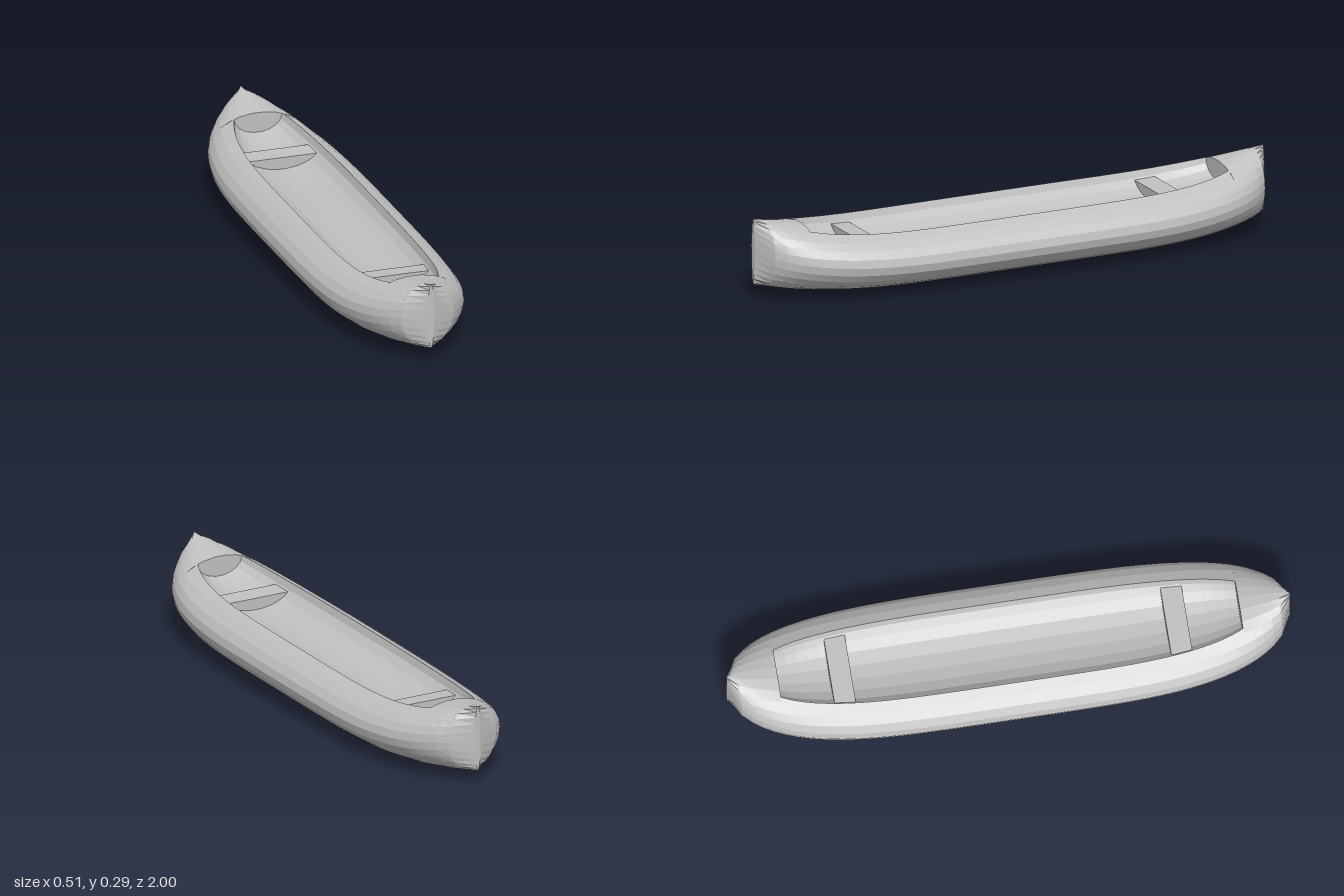
import * as THREE from 'three';

const HALF_HEIGHT = 0.12;
const COCKPIT_END = 0.82;
const STEP = Math.PI / 13; // 26-sided hull section
const SEAT_ANGLE = Math.PI / 7.5; // how far down the trough the seats sit

// Half widths of hull and cockpit, and the upward sweep of the ends
const hullWidth = (z) => Math.max(0.012, 0.253 * Math.sqrt(1 - z ** 4));
const cockpitWidth = (z) => 0.152 * Math.sqrt(1 - (z / 0.912) ** 4);
const lift = (z) => 0.055 * Math.max(0, (Math.abs(z) - 0.3) / 0.7) ** 3;

// Point on the hull skin; t = 0 is the deck centre, running down the -x side
function hullPoint(z, t) {
  return [
    -hullWidth(z) * Math.sin(t),
    HALF_HEIGHT - 0.001 + lift(z) + HALF_HEIGHT * Math.cos(t),
    z,
  ];
}

// Point on the rounded cockpit trough; t = 0 is the +x rim, PI the -x rim
function troughPoint(z, t) {
  const w = cockpitWidth(z);
  const rimY = hullPoint(z, Math.asin(w / hullWidth(z)))[1];
  return [w * Math.cos(t), rimY - (0.035 + 0.28 * w) * Math.sin(t), z];
}

// Whole hull section with narrow flats at keel and deck
function fullRing(z) {
  return Array.from({ length: 26 }, (_, i) => hullPoint(z, (i + 0.5) * STEP));
}

// Crescent section: outer skin from rim to rim, then back along the trough
function openRing(z) {
  const rim = Math.asin(cockpitWidth(z) / hullWidth(z));
  const ring = [hullPoint(z, rim)];
  for (let i = 3; i < 23; i++) ring.push(hullPoint(z, (i + 0.5) * STEP));
  ring.push(hullPoint(z, -rim));
  for (let i = 1; i < 9; i++) ring.push(troughPoint(z, Math.PI * i / 9));
  return ring;
}

// Seat section: trough cut off level at seat height
function seatRing(z) {
  return Array.from({ length: 7 }, (_, i) =>
    troughPoint(z, Math.PI - SEAT_ANGLE - (Math.PI - 2 * SEAT_ANGLE) * i / 6));
}

// Skin closed rings placed in order of rising z
function loft(rings, capped) {
  const pos = [];
  const tri = (a, b, c) => pos.push(...a, ...b, ...c);
  for (let k = 0; k < rings.length - 1; k++) {
    const a = rings[k], b = rings[k + 1], n = a.length;
    for (let i = 0; i < n; i++) {
      const j = (i + 1) % n;
      tri(a[i], a[j], b[j]);
      tri(a[i], b[j], b[i]);
    }
  }
  if (capped) {
    const a = rings[0], b = rings[rings.length - 1];
    for (let i = 1; i < a.length - 1; i++) {
      tri(a[0], a[i + 1], a[i]);
      tri(b[0], b[i], b[i + 1]);
    }
  }
  const g = new THREE.BufferGeometry();
  g.setAttribute('position', new THREE.Float32BufferAttribute(pos, 3));
  g.computeVertexNormals();
  return g;
}

export function createModel() {
  const group = new THREE.Group();
  group.name = 'canoe';
  const grey = new THREE.MeshStandardMaterial({ color: 0xc0c0c0, flatShading: true });
  grey.name = 'light grey';
  const add = (name, geometry) => {
    const mesh = new THREE.Mesh(geometry, grey);
    mesh.name = name;
    group.add(mesh);
  };

  // Open middle of the hull with the cockpit trough
  const middle = Array.from({ length: 42 }, (_, i) => COCKPIT_END * (2 * i / 41 - 1));
  add('hullMiddle', loft(middle.map(openRing), false));

  // Decked ends, whose inner caps form the cockpit bulkheads
  const end = [COCKPIT_END, 0.855, 0.89, 0.925, 0.96, 1];
  add('bow', loft(end.map(fullRing), true));
  add('stern', loft(end.map((z) => -z).reverse().map(fullRing), true));

  // Solid bench seats fitted to the trough
  add('frontSeat', loft([0.56, 0.6, 0.635].map(seatRing), true));
  add('rearSeat', loft([-0.635, -0.6, -0.56].map(seatRing), true));

  return group;
}
